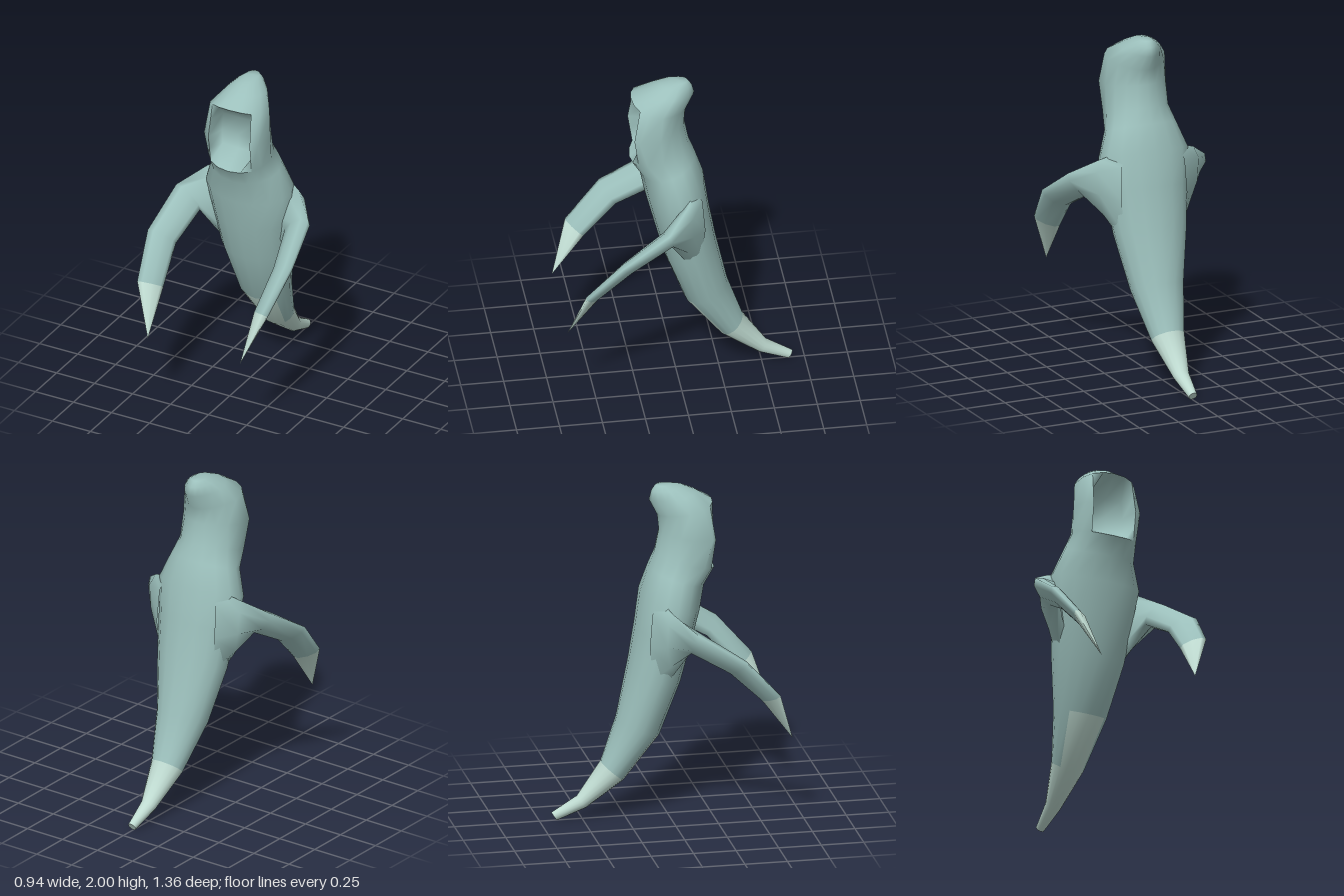
import * as THREE from 'three';

const V = (x, y, z) => new THREE.Vector3(x, y, z);

// Skin a stack of closed rings; isPale(row, column) picks the second material.
function skin(name, rings, materials, isPale) {
  const n = rings[0].length;
  const faces = [[], []];
  for (let r = 0; r < rings.length - 1; r++) {
    for (let c = 0; c < n; c++) {
      if (isPale(r, c) === null) continue; // opening
      const a = r * n + c, b = r * n + (c + 1) % n;
      faces[isPale(r, c) ? 1 : 0].push(a, b, b + n, a, b + n, a + n);
    }
  }
  const geo = new THREE.BufferGeometry().setFromPoints(rings.flat());
  geo.setIndex([...faces[0], ...faces[1]]);
  geo.addGroup(0, faces[0].length, 0);
  geo.addGroup(faces[0].length, faces[1].length, 1);
  geo.computeVertexNormals();
  const mesh = new THREE.Mesh(geo, materials);
  mesh.name = name;
  return mesh;
}

// Tilted egg-shaped ring: front (z, y), back (z, y), half width, front roundness, back taper.
const COLS = 16;
function bodyRing([fz, fy, bz, by, hw, power = 1, taper = 0]) {
  return Array.from({ length: COLS }, (_, i) => {
    const a = (i / COLS) * Math.PI * 2;
    const c = Math.cos(a);
    const k = Math.abs(c) < 1e-6 ? 0 : c > 0 ? Math.pow(c, power) : c;
    return V(
      hw * Math.sin(a) * (c < 0 ? 1 + taper * c : 1),
      (fy + by) / 2 + ((fy - by) / 2) * c,
      (fz + bz) / 2 + ((fz - bz) / 2) * k
    );
  });
}

// Body from the tail tip to the top of the hood.
const BODY = [
  [-0.65, 0.003, -0.68, 0.05, 0.025],
  [-0.48, 0.07, -0.53, 0.14, 0.048],
  [-0.26, 0.23, -0.39, 0.34, 0.1],
  [-0.05, 0.5, -0.3, 0.6, 0.16],
  [0.07, 0.82, -0.23, 0.92, 0.225],
  [0.13, 1.05, -0.19, 1.15, 0.25],
  [0.18, 1.25, -0.16, 1.36, 0.275],
  [0.21, 1.4, -0.11, 1.51, 0.215],
  [0.27, 1.5, -0.075, 1.6, 0.19, 0.7, 0.1],
  [0.275, 1.68, -0.05, 1.73, 0.192, 0.3, 0.25],
  [0.26, 1.9, -0.06, 1.82, 0.18, 0.7, 0.35],
  [0.17, 1.955, -0.108, 1.915, 0.12, 1, 0.3],
  [0.09, 1.99, -0.095, 1.965, 0.075, 1, 0.2],
  [0.03, 2.0, -0.07, 2.0, 0.04],
  [-0.02, 2.0, -0.02, 2.0, 0],
];
const COLLAR = 8, BROW = 10;

// Hollow inside the hood: a bowl spanning the rim of the opening.
function hollow(rings, material) {
  const cols = [14, 15, 0, 1, 2];
  const pts = [], index = [];
  for (let r = 0; r < 5; r++) {
    const lo = rings[COLLAR + Math.min(1, Math.floor(r / 2))];
    const hi = rings[COLLAR + Math.min(1, Math.floor(r / 2)) + 1];
    const t = r / 2 - Math.min(1, Math.floor(r / 2));
    cols.forEach((c, i) => {
      const p = lo[c].clone().lerp(hi[c], t);
      if (r > 0 && r < 4 && i > 0 && i < 4) {
        p.x *= 1.5;
        p.z -= 0.13;
      }
      pts.push(p);
      if (r < 4 && i < 4) {
        const a = r * 5 + i;
        index.push(a, a + 1, a + 6, a, a + 6, a + 5);
      }
    });
  }
  const geo = new THREE.BufferGeometry().setFromPoints(pts);
  geo.setIndex(index);
  geo.computeVertexNormals();
  const mesh = new THREE.Mesh(geo, material);
  mesh.name = 'hoodHollow';
  return mesh;
}

// Arm sections for the left side: outer edge, inner edge, half thickness.
const ARM = [
  [[0.17, 1.36, -0.08], [0.16, 0.8, -0.07], 0.08],
  [[0.3, 1.31, -0.03], [0.235, 0.93, 0.0], 0.065],
  [[0.435, 1.21, 0.1], [0.285, 1.075, 0.09], 0.05],
  [[0.47, 1.035, 0.375], [0.325, 0.95, 0.3], 0.038],
  [[0.425, 0.81, 0.58], [0.303, 0.76, 0.49], 0.028],
  [[0.303, 0.51, 0.675], [0.303, 0.51, 0.675], 0],
];

function arm(side, name, materials) {
  const edges = ARM.map(([o, i, t]) => ({
    o: V(o[0] * side, o[1], o[2]), i: V(i[0] * side, i[1], i[2]), t,
  }));
  const mids = edges.map((e) => e.o.clone().add(e.i).multiplyScalar(0.5));
  const rings = edges.map((e, k) => {
    const along = mids[Math.min(k + 1, mids.length - 1)].clone().sub(mids[Math.max(k - 1, 0)]);
    const half = e.o.clone().sub(e.i).multiplyScalar(0.5);
    const thick = along.cross(half).normalize().multiplyScalar(e.t);
    return Array.from({ length: 8 }, (_, j) => {
      const a = (j / 8) * Math.PI * 2;
      return mids[k].clone().addScaledVector(half, Math.cos(a)).addScaledVector(thick, Math.sin(a));
    });
  });
  return skin(name, rings, materials, (r) => r === 4);
}

export function createModel() {
  const main = new THREE.MeshStandardMaterial({ color: 0x9cc0bc });
  main.name = 'greyTeal';
  const pale = new THREE.MeshStandardMaterial({ color: 0xc0dcd2 });
  pale.name = 'paleMint';
  const mats = [main, pale];
  const inside = main;
  inside.side = THREE.DoubleSide;

  const group = new THREE.Group();
  group.name = 'hoodedSpirit';
  const rings = BODY.map(bodyRing);
  const isFront = (c) => c < 2 || c > 13;

  // Hooded body with a pale tail
  group.add(skin('body', rings, mats, (r, c) => {
    if (r >= COLLAR && r < BROW && isFront(c)) return null;
    return r < 2 || (r === 2 && isFront(c));
  }));
  group.add(hollow(rings, inside));

  // Flat end of the tail
  const centre = rings[0].map(() => V(0, 0.027, -0.665));
  group.add(skin('tailEnd', [centre, rings[0]], mats, () => true));

  // Arms with pale pointed ends
  group.add(arm(1, 'leftArm', mats), arm(-1, 'rightArm', mats));
  return group;
}
